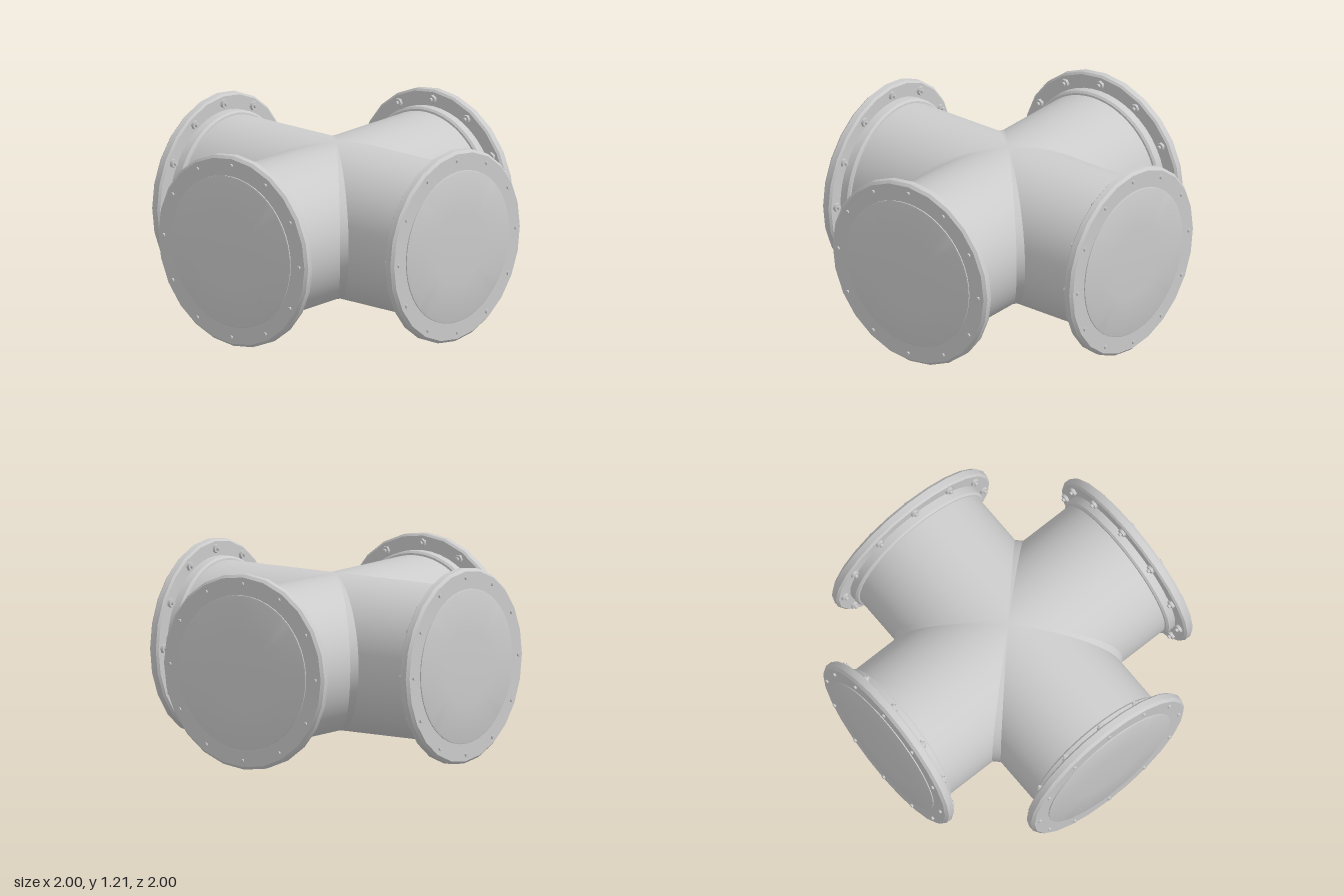
import * as THREE from 'three';
import { toCreasedNormals } from 'three/addons/utils/BufferGeometryUtils.js';

const R = 0.478, CENTER_Y = 0.608, BOLTS = 12, BOLT_R = 0.547;
const material = new THREE.MeshStandardMaterial({ color: 0xcccccc, side: THREE.DoubleSide });

function part(name, geometry, parent) {
  const mesh = new THREE.Mesh(geometry, material);
  mesh.name = name;
  parent.add(mesh);
  return mesh;
}

// Surface of revolution with crisp profile edges, y pointing outwards
function turned(profile, sides) {
  const points = profile.map(([r, y]) => new THREE.Vector2(r, y));
  return toCreasedNormals(new THREE.LatheGeometry(points, sides), 0.35);
}

// Pipe from the flange inwards, its inner end mitred against its neighbours
function mitredPipe() {
  const geometry = new THREE.CylinderGeometry(R, R, 1, 64, 1, true);
  const p = geometry.attributes.position, normals = geometry.attributes.normal.clone();
  for (let i = 0; i < p.count; i++) p.setY(i, p.getY(i) > 0 ? 0.87 : Math.abs(p.getX(i)));
  geometry.setAttribute('normal', normals);
  return geometry;
}

// Weld band bridging two neighbouring pipes, tapering to nothing at top and bottom
function weldBand() {
  const n = 40, positions = [], index = [];
  for (let i = 0; i <= n; i++) {
    const t = (i / n - 0.5) * Math.PI * 0.98;
    const c = R * Math.cos(t), y = R * Math.sin(t), d = 0.037 * Math.cos(t);
    positions.push(c + d, y, c, c, y, c + d);
    if (i < n) {
      const a = 2 * i;
      index.push(a, a + 2, a + 1, a + 1, a + 2, a + 3);
    }
  }
  const geometry = new THREE.BufferGeometry();
  geometry.setAttribute('position', new THREE.Float32BufferAttribute(positions, 3));
  geometry.setIndex(index);
  geometry.computeVertexNormals();
  return geometry;
}

export function createModel() {
  const model = new THREE.Group();
  model.name = 'pipeCross';

  const pipe = mitredPipe();
  const weld = weldBand();
  const collar = turned([[R, 0.847], [0.49, 0.849], [0.502, 0.861], [0.502, 0.912]], 48);
  const flange = turned([
    [0.47, 0.91], [0.592, 0.91], [0.605, 0.922], [0.605, 0.96], [0.588, 0.977], [0.47, 0.977],
  ], 24);
  const cover = turned([[0.478, 0.975], [0.478, 0.983], [0.47, 0.986], [0.23, 0.995], [0, 0.999]], 48);
  const nut = new THREE.CylinderGeometry(0.028, 0.028, 0.018, 6);
  const stud = new THREE.CylinderGeometry(0.012, 0.012, 0.112, 8);

  for (let k = 0; k < 4; k++) {
    const quarter = new THREE.Group();
    quarter.name = 'quarter' + (k + 1);
    quarter.position.y = CENTER_Y;
    quarter.rotation.y = k * Math.PI / 2;
    model.add(quarter);
    part('weldBand', weld, quarter);

    // One arm, modelled along y and tipped forwards
    const arm = new THREE.Group();
    arm.name = 'arm';
    arm.rotation.x = Math.PI / 2;
    quarter.add(arm);
    part('pipe', pipe, arm);
    part('collar', collar, arm);
    part('flange', flange, arm);
    part('cover', cover, arm);

    // Ring of studs with nuts behind the flange
    for (let b = 0; b < BOLTS; b++) {
      const angle = b / BOLTS * Math.PI * 2;
      const bolt = new THREE.Group();
      bolt.name = 'bolt';
      bolt.rotation.y = angle;
      bolt.position.set(BOLT_R * Math.sin(angle), 0, BOLT_R * Math.cos(angle));
      arm.add(bolt);
      part('nut', nut, bolt).position.y = 0.901;
      part('stud', stud, bolt).position.y = 0.933;
    }
  }
  return model;
}
